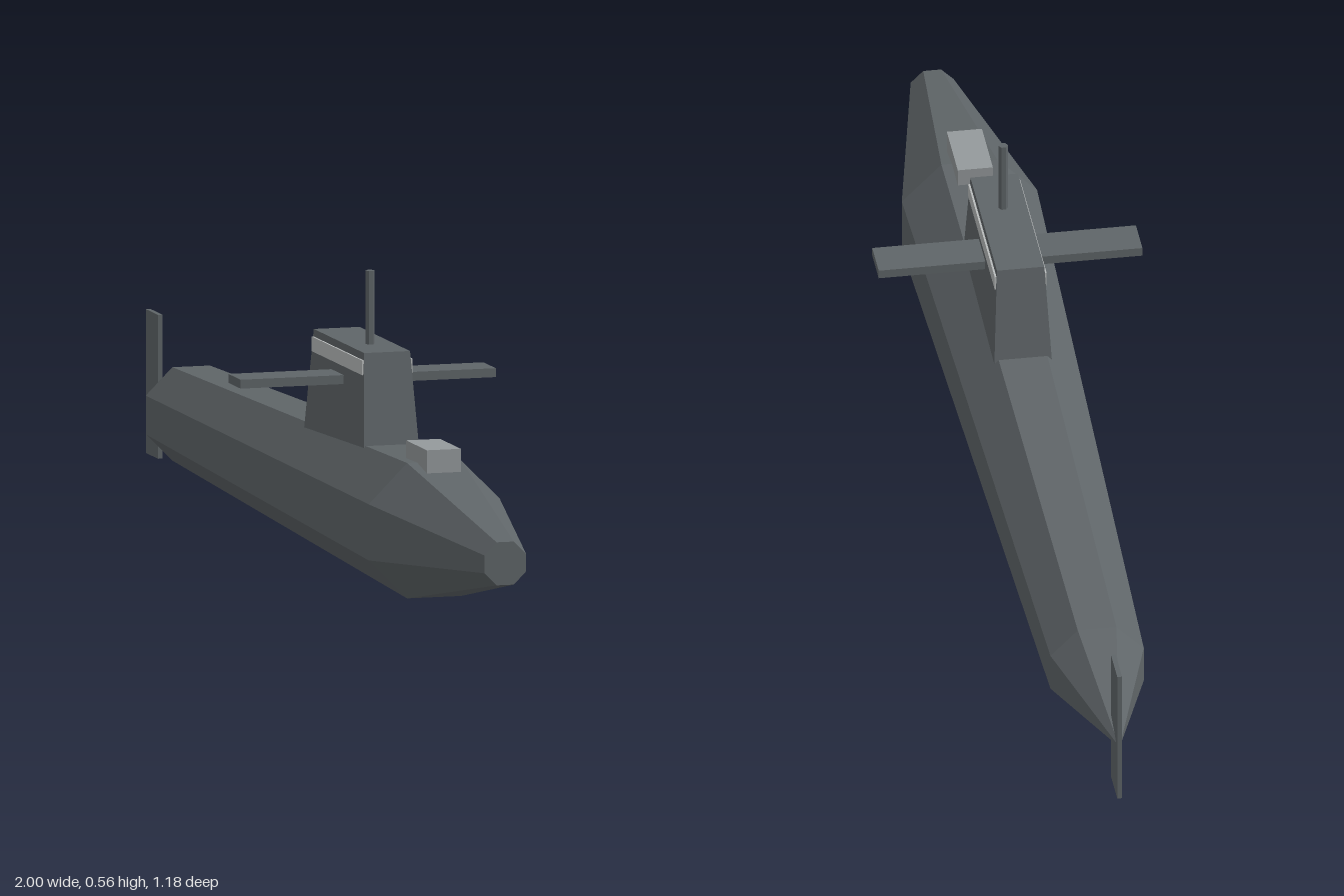
import * as THREE from 'three';

const paint = (name, color) => {
  const m = new THREE.MeshStandardMaterial({ color, flatShading: true });
  m.name = name;
  return m;
};

export function createModel() {
  const steel = paint('dark steel grey', 0x5f6568);
  const pale = paint('pale window grey', 0xb8bbbb);
  const lightGrey = paint('light deck grey', 0x94999b);

  // Built with the bow along +x, then turned 30 degrees
  const boat = new THREE.Group();
  boat.name = 'submarine';
  const add = (name, geometry, material, x, y, z = 0) => {
    const mesh = new THREE.Mesh(geometry, material);
    mesh.name = name;
    mesh.position.set(x, y, z);
    boat.add(mesh);
    return mesh;
  };
  const box = (l, h, w) => new THREE.BoxGeometry(l, h, w);

  // Octagonal hull: [half height, station along the axis], flats up and sideways
  const profile = [[0, -1.16], [0.089, -0.886], [0.129, 0.671], [0.041, 1.126], [0, 1.126]]
    .map(([r, s]) => new THREE.Vector2(r / Math.cos(Math.PI / 8), s));
  const hull = new THREE.LatheGeometry(profile, 8, Math.PI / 8);
  hull.rotateZ(-Math.PI / 2);
  add('hull', hull, steel, 0, 0.13);

  // Conning tower, tapering towards its roof
  const tower = box(0.394, 0.225, 0.113);
  const p = tower.attributes.position;
  for (let i = 0; i < p.count; i++) {
    if (p.getY(i) > 0) {
      p.setX(i, p.getX(i) * 0.82);
      p.setZ(i, p.getZ(i) * 0.8);
    }
  }
  add('conningTower', tower, steel, 0.208, 0.3125);

  // Pale strip along each side of the tower
  for (const side of [-1, 1]) {
    add('windowStrip', box(0.324, 0.028, 0.008), pale, 0.208, 0.397, side * 0.0455);
  }

  // Diving planes and periscope
  add('divingPlanes', box(0.079, 0.017, 0.503), steel, 0.209, 0.3575);
  add('periscope', new THREE.CylinderGeometry(0.009, 0.009, 0.16, 6), steel, 0.259, 0.485);

  // Block on the foredeck
  add('deckBlock', box(0.134, 0.05, 0.067), lightGrey, 0.666, 0.266);

  // Vertical tail rudder
  add('rudder', box(0.077, 0.274, 0.009), steel, -1.122, 0.152);

  boat.rotation.y = -Math.PI / 6;
  boat.position.set(0.0045, 0, -0.0078);

  const model = new THREE.Group();
  model.add(boat);
  return model;
}
